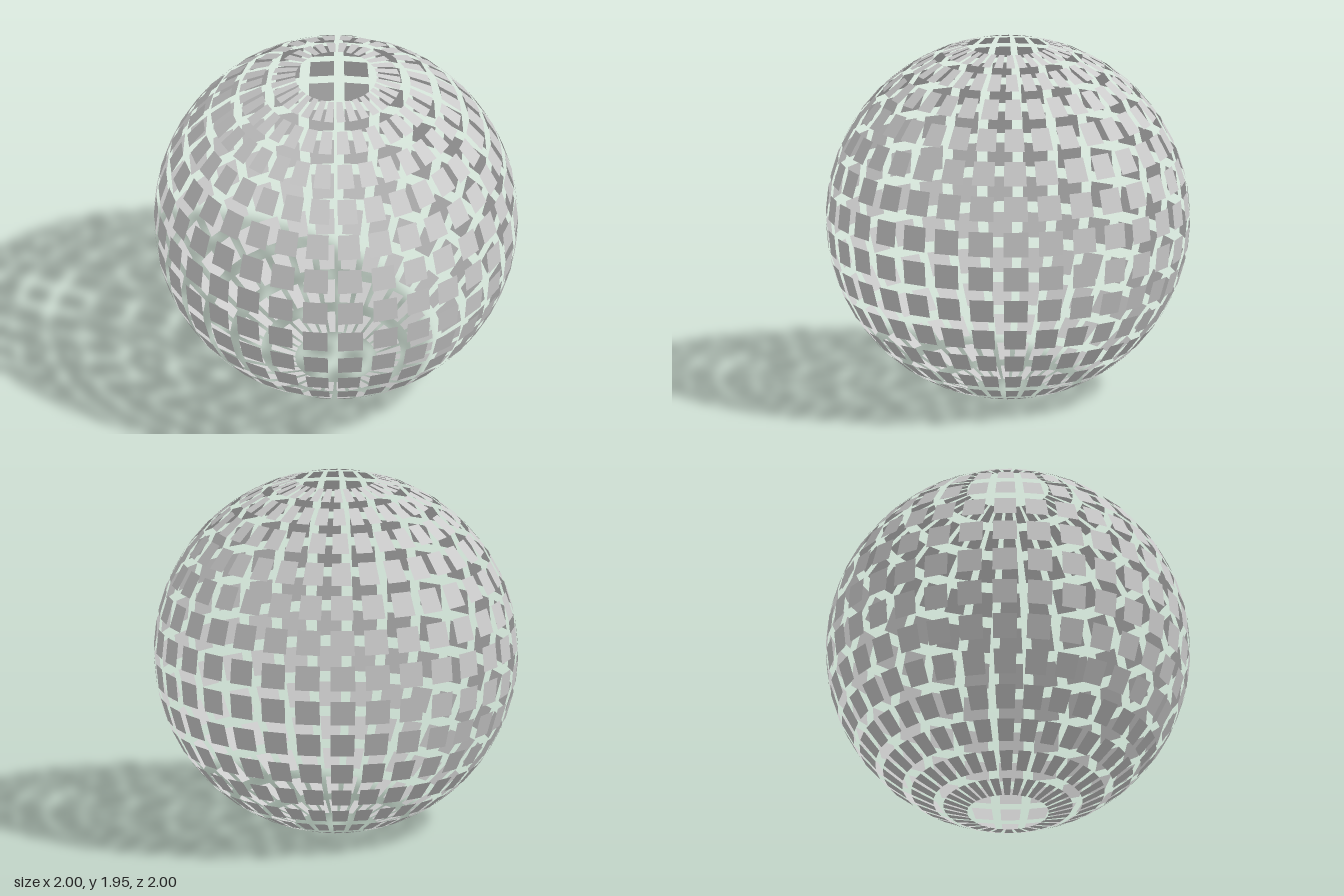
import * as THREE from 'three';

const COLUMNS = 32;
const ROWS = 16; // the two polar rows stay open
const INSET = 0.15; // gap on each side of a tile, as a share of its cell
const RADIUS = 1.0009;

const rowAngle = (v) => -Math.PI / 2 + (v * Math.PI) / ROWS;
const columnAngle = (u) => (u * 2 * Math.PI) / COLUMNS;

function spherePoint(u, v) {
  const lat = rowAngle(v), lon = columnAngle(u);
  return [
    RADIUS * Math.cos(lat) * Math.sin(lon),
    RADIUS * Math.sin(lat),
    RADIUS * Math.cos(lat) * Math.cos(lon),
  ];
}

// One ring of separate flat tiles
function tileRing(row) {
  const positions = [], indices = [];
  const v0 = row + INSET, v1 = row + 1 - INSET;
  for (let c = 0; c < COLUMNS; c++) {
    const u0 = c + INSET, u1 = c + 1 - INSET;
    const n = c * 4;
    positions.push(
      ...spherePoint(u0, v0), ...spherePoint(u1, v0),
      ...spherePoint(u1, v1), ...spherePoint(u0, v1),
    );
    indices.push(n, n + 1, n + 2, n, n + 2, n + 3);
  }
  const geometry = new THREE.BufferGeometry();
  geometry.setAttribute('position', new THREE.Float32BufferAttribute(positions, 3));
  geometry.setIndex(indices);
  geometry.computeVertexNormals();
  return geometry;
}

export function createModel() {
  const model = new THREE.Group();
  model.name = 'tiledSphere';
  const material = new THREE.MeshStandardMaterial({
    color: 0xcccccc, flatShading: true, side: THREE.DoubleSide,
  });

  // Raise the sphere so the lowest tile edges rest on the ground
  const centreY = -RADIUS * Math.sin(rowAngle(1 + INSET));

  for (let row = 1; row < ROWS - 1; row++) {
    const ring = new THREE.Mesh(tileRing(row), material);
    ring.name = `tileRing${row}`;
    ring.position.y = centreY;
    model.add(ring);
  }
  return model;
}
